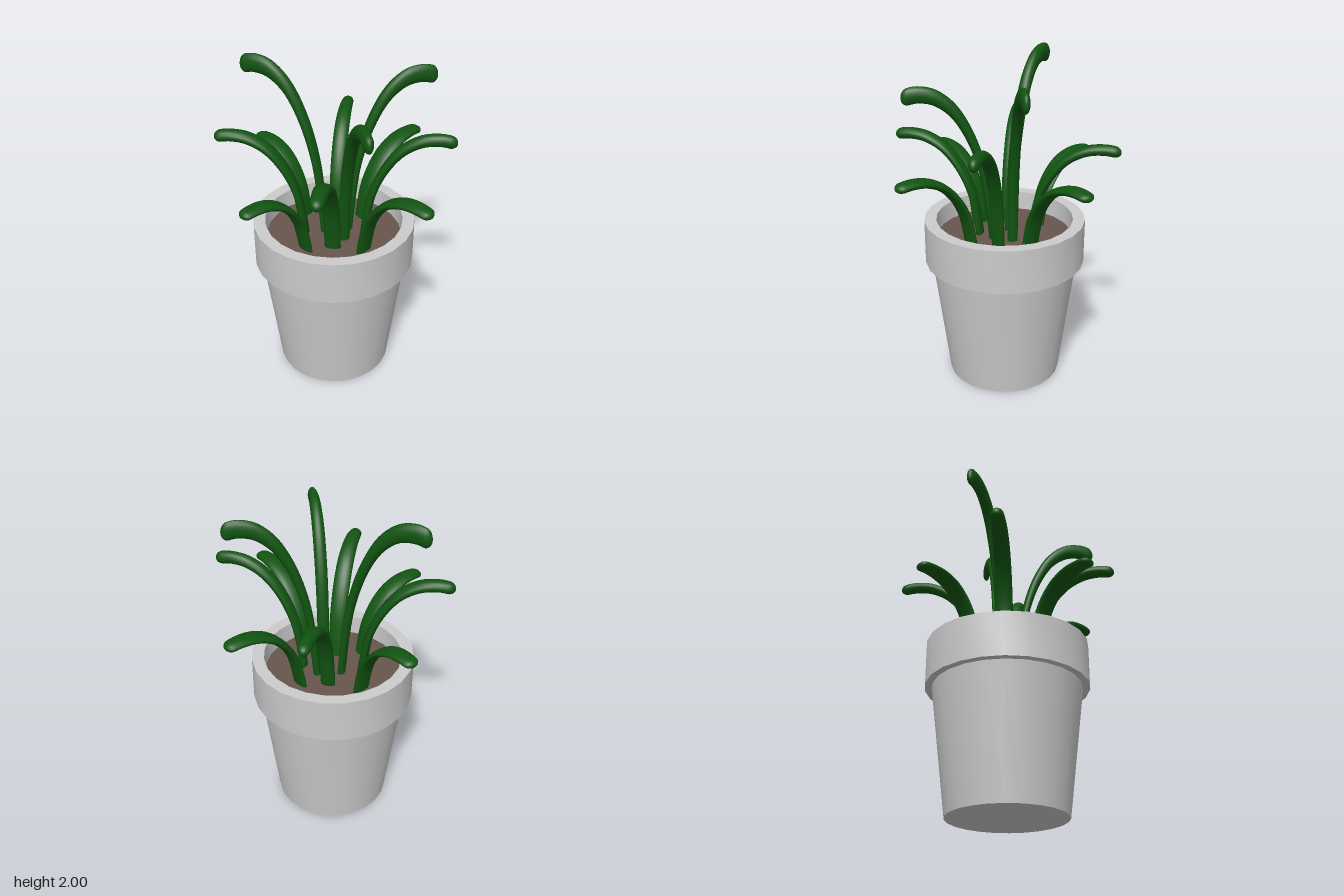
import * as THREE from 'three';
import { toCreasedNormals } from 'three/addons/utils/BufferGeometryUtils.js';

const V2 = (x, y) => new THREE.Vector2(x, y);

// Unit leaf: rises along y, arches towards +x, one unit long, high and wide
function leafGeometry(steps = 40, sides = 16) {
  const curve = new THREE.SplineCurve([
    V2(0.04, 0), V2(0.08, 0.23), V2(0.14, 0.45), V2(0.26, 0.66),
    V2(0.43, 0.83), V2(0.63, 0.925), V2(0.83, 0.95), V2(1, 0.93),
  ]);
  const positions = [], index = [];
  for (let i = 0; i <= steps; i++) {
    // rings crowd together towards the rounded tip
    const t = 1 - Math.pow(1 - i / steps, 1.8);
    const c = curve.getPointAt(t), d = curve.getTangentAt(t);
    const cap = t > 0.95 ? Math.sqrt(Math.max(0, 1 - ((t - 0.95) / 0.05) ** 2)) : 1;
    const thick = (0.04 + 0.012 * t) * cap;
    const width = (0.46 + 0.08 * t - 0.2 * t ** 4) * cap;
    for (let k = 0; k < sides; k++) {
      const a = (k / sides) * Math.PI * 2;
      const r = thick * Math.cos(a);
      positions.push(c.x - d.y * r, c.y + d.x * r, width * Math.sin(a));
      if (i < steps) {
        const p = i * sides + k, q = i * sides + (k + 1) % sides;
        index.push(p, q, p + sides, q, q + sides, p + sides);
      }
    }
  }
  const g = new THREE.BufferGeometry();
  g.setAttribute('position', new THREE.Float32BufferAttribute(positions, 3));
  g.setIndex(index);
  g.computeVertexNormals();
  return g;
}

export function createModel() {
  const model = new THREE.Group();
  model.name = 'pottedPlant';
  const potMat = new THREE.MeshStandardMaterial({ color: 0xcccccc });
  const soilMat = new THREE.MeshStandardMaterial({ color: 0x67564d });
  const leafMat = new THREE.MeshStandardMaterial({ color: 0x125512 });
  const cx = -0.03, cz = 0.02, soilY = 0.92;

  // Tapered pot with a thick overhanging rim
  const profile = [
    V2(0, 0), V2(0.35, 0), V2(0.445, 0.765), V2(0.487, 0.765),
    V2(0.487, 1.035), V2(0.415, 1.035), V2(0.41, 0.88),
  ];
  const pot = new THREE.Mesh(toCreasedNormals(new THREE.LatheGeometry(profile, 24), 0.6), potMat);
  pot.name = 'pot';
  pot.position.set(cx, 0, cz);
  model.add(pot);

  // Soil disc
  const soil = new THREE.Mesh(new THREE.CircleGeometry(0.413, 24).rotateX(-Math.PI / 2), soilMat);
  soil.name = 'soil';
  soil.position.set(cx, soilY, cz);
  model.add(soil);

  // Leaves: root x, root z, tip x, tip z, top height, width
  const leaves = [
    // tall inner leaves
    [-0.07, 0.03, -0.555, 0.245, 2.0, 0.075],
    [0.04, 0.01, 0.505, 0.275, 1.87, 0.075],
    [-0.02, -0.065, 0.26, -0.515, 1.955, 0.065],
    // middle leaves
    [0.09, -0.08, 0.525, -0.405, 1.64, 0.085],
    [-0.14, 0.12, -0.545, 0.475, 1.6, 0.105],
    [0.06, 0.11, 0.385, 0.54, 1.56, 0.105],
    [-0.12, -0.08, -0.45, -0.515, 1.535, 0.095],
    // low outer leaves
    [0.2, 0.02, 0.72, 0.02, 1.425, 0.125],
    [-0.275, 0.02, -0.72, 0.02, 1.365, 0.125],
    [-0.025, 0.235, -0.025, 0.705, 1.38, 0.125],
    [-0.025, -0.2, -0.025, -0.71, 1.41, 0.13],
  ];
  const leafGeo = leafGeometry();
  leaves.forEach(([x, z, tx, tz, top, width], i) => {
    const leaf = new THREE.Mesh(leafGeo, leafMat);
    leaf.name = `leaf${i + 1}`;
    leaf.position.set(x, soilY - 0.02, z);
    leaf.rotation.y = Math.atan2(z - tz, tx - x);
    leaf.scale.set(Math.hypot(tx - x, tz - z), top - soilY + 0.02, width);
    model.add(leaf);
  });
  return model;
}
